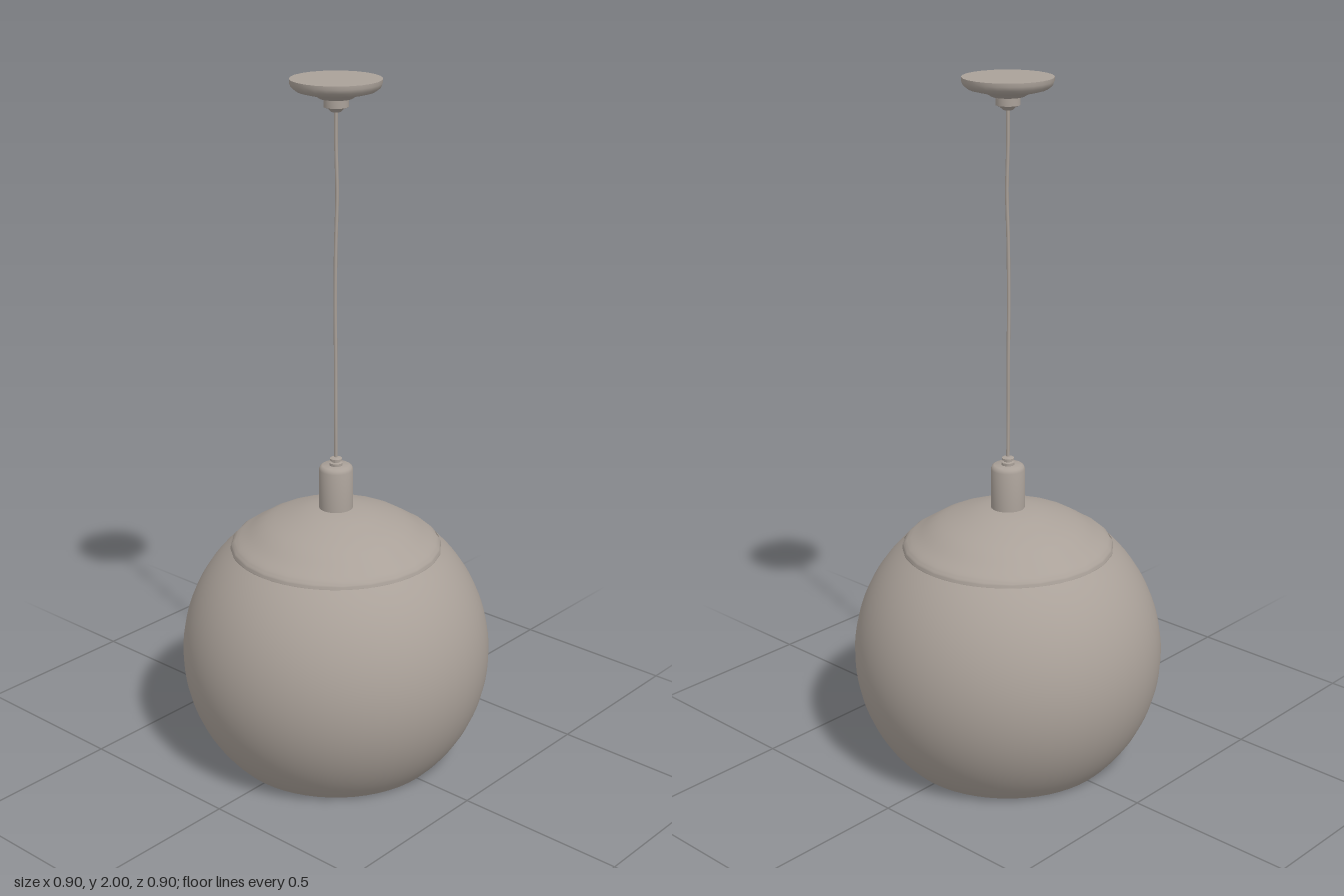
import * as THREE from 'three';
import { toCreasedNormals } from 'three/addons/utils/BufferGeometryUtils.js';

export function createModel() {
  const lamp = new THREE.Group();
  lamp.name = 'pendantLamp';
  const greige = new THREE.MeshStandardMaterial({ color: 0xaaa199, side: THREE.DoubleSide });
  greige.name = 'warmGrey';

  const add = (name, geometry) => {
    const mesh = new THREE.Mesh(geometry, greige);
    mesh.name = name;
    lamp.add(mesh);
    return mesh;
  };
  // Turned part from [radius, height] pairs listed bottom to top
  const turned = (name, profile, sides, crease = 0.7) =>
    add(name, toCreasedNormals(
      new THREE.LatheGeometry(profile.map(([r, y]) => new THREE.Vector2(r, y)), sides), crease));

  // Globe shade: thin open shell, cut flat at the bottom and under the cap
  const arc = (radius, yStart, yEnd, steps = 28) => {
    const cy = 0.322;
    const a = Math.asin((yStart - cy) / radius), b = Math.asin((yEnd - cy) / radius);
    return Array.from({ length: steps + 1 }, (_, i) => {
      const t = a + (b - a) * i / steps;
      return [radius * Math.cos(t), cy + radius * Math.sin(t)];
    });
  };
  turned('globeShade', [...arc(0.446, 0.65, 0), ...arc(0.451, 0, 0.652)], 56);

  // Domed cap with a rolled edge
  const capCurve = new THREE.SplineCurve([
    [0.306, 0.648], [0.304, 0.658], [0.292, 0.672], [0.262, 0.691],
    [0.2, 0.729], [0.1, 0.763], [0.03, 0.774],
  ].map(([r, y]) => new THREE.Vector2(r, y)));
  turned('shadeCap', capCurve.getPoints(24).map(p => [p.x, p.y]), 24);

  // Socket holder and cord grip
  turned('socketHolder', [[0, 0.755], [0.049, 0.755], [0.049, 0.888],
    [0.046, 0.897], [0.04, 0.901], [0, 0.901]], 24);
  turned('cordGrip', [[0.019, 0.9], [0.019, 0.909], [0.012, 0.911],
    [0.012, 0.914], [0.018, 0.916], [0.018, 0.922], [0.008, 0.926], [0, 0.926]], 12);

  // Slightly wavy hanging cord
  const cordPoints = [[0, 0.91, 0], [0.001, 1.05, 0.002], [-0.002, 1.2, -0.001],
    [-0.003, 1.38, 0], [0, 1.55, 0.001], [0.003, 1.69, -0.001], [0, 1.82, 0], [0, 1.93, 0]];
  add('cord', new THREE.TubeGeometry(
    new THREE.CatmullRomCurve3(cordPoints.map(p => new THREE.Vector3(...p))), 40, 0.005, 8));

  // Ceiling canopy with its strain relief knob
  turned('ceilingCanopy', [[0, 1.948], [0.045, 1.948], [0.06, 1.957], [0.085, 1.963],
    [0.108, 1.969], [0.121, 1.979], [0.125, 1.99], [0.125, 2], [0, 2]], 24);
  turned('canopyKnob', [[0, 1.912], [0.014, 1.912], [0.022, 1.92], [0.034, 1.925],
    [0.034, 1.952]], 20);

  return lamp;
}
